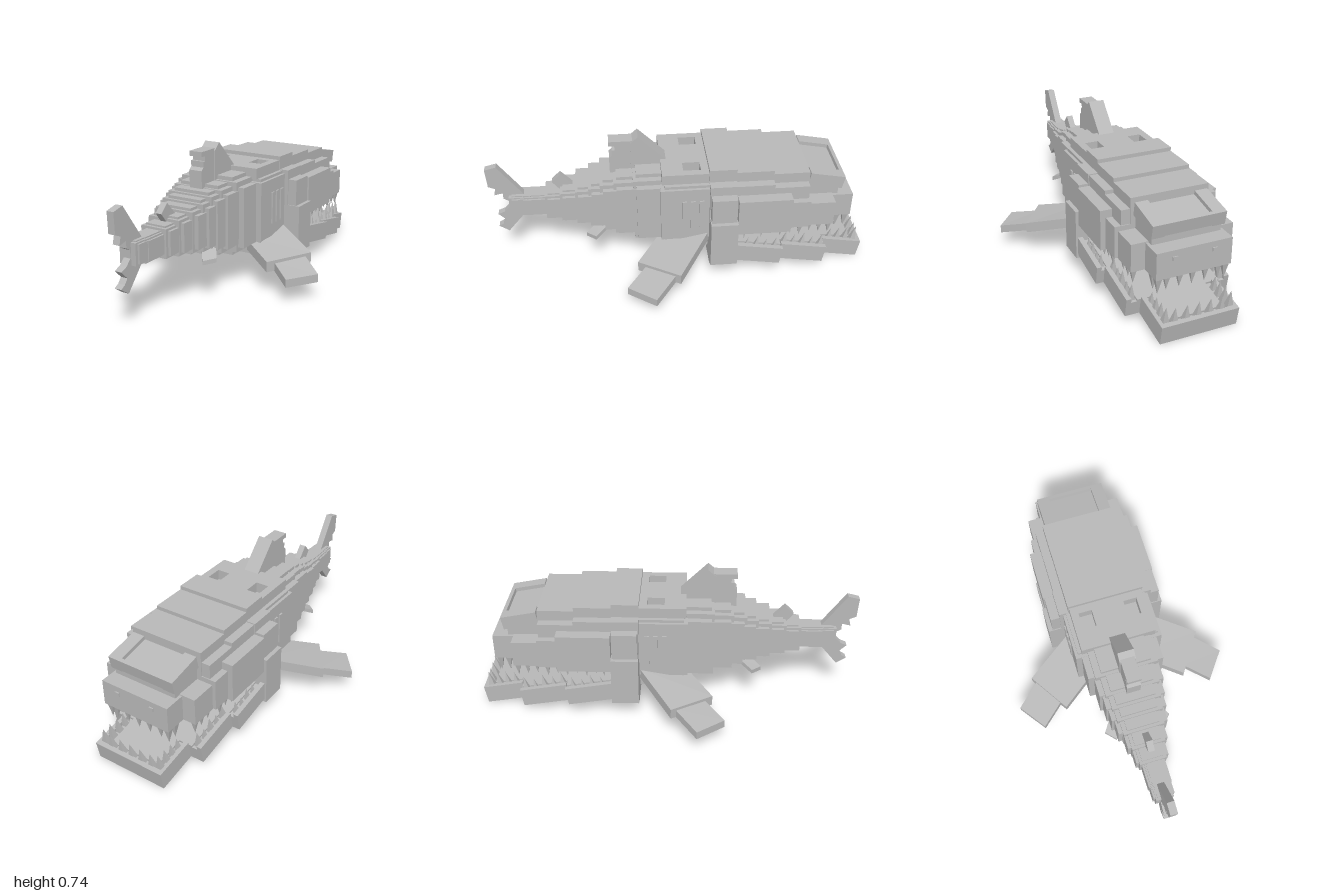
import * as THREE from 'three';

const skin = new THREE.MeshStandardMaterial({ color: 0xb8b8b8, flatShading: true });
skin.name = 'grey skin';

export function createModel() {
  const model = new THREE.Group();
  model.name = 'blockShark';

  const add = (name, geometry, parent = model) => {
    const mesh = new THREE.Mesh(geometry, skin);
    mesh.name = name;
    parent.add(mesh);
    return mesh;
  };
  // Box given by its limits on each axis
  const block = (name, x0, x1, y0, y1, z0, z1, parent) => {
    const m = add(name, new THREE.BoxGeometry(x1 - x0, y1 - y0, z1 - z0), parent);
    m.position.set((x0 + x1) / 2, (y0 + y1) / 2, (z0 + z1) / 2);
    return m;
  };
  const centred = (name, w, y0, y1, z0, z1, parent) => block(name, -w, w, y0, y1, z0, z1, parent);
  // Side profile in (z, y), extruded across x
  const profile = (name, points, w) => {
    const shape = new THREE.Shape(points.map(([z, y]) => new THREE.Vector2(-z, y)));
    const g = new THREE.ExtrudeGeometry(shape, { depth: 2 * w, bevelEnabled: false });
    return add(name, g.translate(0, 0, -w).rotateY(Math.PI / 2));
  };
  // Slab under four top corners: inner front, outer front, outer rear, inner rear
  const slab = (name, c, thick, side) => {
    const g = new THREE.BoxGeometry(1, 1, 1);
    const p = g.attributes.position;
    for (let i = 0; i < p.count; i++) {
      const outer = p.getX(i) * side > 0, rear = p.getZ(i) > 0;
      const q = c[outer ? (rear ? 2 : 1) : (rear ? 3 : 0)];
      p.setXYZ(i, q[0] * side, q[1] - (p.getY(i) < 0 ? thick : 0), q[2]);
    }
    g.computeVertexNormals();
    add(name, g);
  };

  // Tapering rear body: z0, z1, half width, bottom, top
  const sections = [
    [0.80, 0.88, 0.055, 0.29, 0.41], [0.69, 0.82, 0.06, 0.285, 0.41],
    [0.60, 0.69, 0.085, 0.27, 0.43], [0.52, 0.61, 0.105, 0.26, 0.455],
    [0.455, 0.53, 0.13, 0.25, 0.48], [0.39, 0.46, 0.145, 0.235, 0.505],
    [0.325, 0.40, 0.155, 0.21, 0.53], [0.23, 0.33, 0.17, 0.19, 0.55],
    [0.11, 0.23, 0.20, 0.165, 0.575],
  ];
  sections.forEach(([z0, z1, w, y0, y1]) => {
    const s = w * 0.17;
    centred('bodySide', w, y0 + s * 1.4, y1 - s * 1.4, z0, z1);
    centred('bodyShoulder', w - s, y0 + s * 0.7, y1 - s * 0.6, z0 - 0.02, z1 + 0.015);
    centred('bodyCore', w - 2 * s, y0, y1, z0 - 0.03, z1);
  });

  // Trunk with two blowhole pits in its back
  centred('trunkSide', 0.23, 0.22, 0.53, -0.14, 0.11);
  centred('trunkShoulder', 0.215, 0.19, 0.545, -0.14, 0.09);
  centred('trunkBelly', 0.19, 0.14, 0.24, -0.14, 0.10);
  centred('trunkBellyPlate', 0.17, 0.115, 0.2, -0.14, 0.02);
  const back = new THREE.Shape();
  back.moveTo(-0.195, -0.10).lineTo(0.195, -0.10).lineTo(0.195, 0.14).lineTo(-0.195, 0.14);
  [-0.155, 0.085].forEach((x) => {
    const pit = new THREE.Path();
    pit.moveTo(x, 0.01).lineTo(x, 0.10).lineTo(x + 0.07, 0.10).lineTo(x + 0.07, 0.01);
    back.holes.push(pit);
  });
  const backPlate = new THREE.ExtrudeGeometry(back, { depth: 0.055, bevelEnabled: false });
  add('backPlate', backPlate.rotateX(-Math.PI / 2)).position.y = 0.545;

  // Jaw hinge collar
  centred('hingeCrown', 0.2, 0.4, 0.62, -0.28, -0.14);
  centred('hingeShoulder', 0.25, 0.3, 0.55, -0.28, -0.14);
  centred('hingeCheek', 0.298, 0.2, 0.50, -0.275, -0.145);
  centred('hingePlate', 0.32, 0.10, 0.36, -0.28, -0.14);
  centred('hingeBase', 0.28, 0.075, 0.15, -0.28, -0.14);

  // Upper head
  centred('headCrown', 0.2, 0.4, 0.60, -0.47, -0.28);
  centred('headShoulder', 0.245, 0.3, 0.545, -0.47, -0.28);
  centred('headCheek', 0.305, 0.285, 0.49, -0.555, -0.28);
  centred('foreheadCrown', 0.2, 0.4, 0.58, -0.655, -0.47);
  centred('foreheadShoulder', 0.245, 0.3, 0.525, -0.65, -0.47);
  centred('foreheadCheek', 0.278, 0.29, 0.45, -0.655, -0.54);
  centred('muzzleCheek', 0.26, 0.285, 0.425, -0.79, -0.64);
  centred('muzzle', 0.19, 0.285, 0.42, -0.9, -0.64);
  centred('bridge', 0.175, 0.4, 0.50, -0.82, -0.64);
  const brow = new THREE.Group();
  brow.name = 'brow';
  brow.position.set(0, 0.515, -0.75);
  brow.rotation.x = 0.19;
  brow.rotation.x *= -1;
  model.add(brow);
  centred('browPlate', 0.15, -0.035, 0.01, -0.085, 0.09, brow);
  centred('browFront', 0.185, -0.035, 0.03, -0.095, -0.075, brow);

  // Lower jaw, sloping down to the front, built along a tilted frame
  const slope = 0.17;
  const jaw = new THREE.Group();
  jaw.name = 'lowerJaw';
  jaw.position.set(0, 0.225, -0.27);
  jaw.rotation.x = -slope;
  model.add(jaw);
  const jawParts = [[0.31, -0.26, 0.01], [0.27, -0.51, -0.26], [0.197, -0.725, -0.51]];
  jawParts.forEach(([w, z0, z1], i) => {
    centred('jawFloor', w, -0.105, -0.03, z0, z1, jaw);
    [-1, 1].forEach((s) => block('jawRim', s * w - (s > 0 ? 0.025 : 0), s * w + (s < 0 ? 0.025 : 0), -0.04, -0.008, z0, z1, jaw));
    if (i === 2) centred('jawFrontRim', w, -0.04, -0.008, z0, z0 + 0.025, jaw);
    centred('gum', w - 0.055, -0.04, -0.02, z0 + (i === 2 ? 0.05 : 0), z1, jaw);
  });

  // Square pyramid teeth; dir is +1 upward, -1 hanging
  const tooth = (x, y, z, h, dir, parent) => {
    const g = new THREE.ConeGeometry(h * 0.27, h, 4).rotateY(Math.PI / 4);
    const m = add(dir > 0 ? 'lowerTooth' : 'upperTooth', g, parent);
    m.position.set(x, y + dir * h / 2, z);
    if (dir < 0) m.rotation.x = Math.PI;
  };
  for (let i = -2; i <= 2; i++) {
    tooth(i * 0.06, -0.03, -0.69, 0.09, 1, jaw);
    tooth(i * 0.065, 0.29, -0.88, 0.075, -1, model);
  }
  [-1, 1].forEach((s) => {
    [-0.685, -0.64, -0.595, -0.55].forEach((z, i) => tooth(s * 0.165, -0.03, z, 0.1 - i * 0.008, 1, jaw));
    [-0.48, -0.43, -0.38, -0.33, -0.28].forEach((z, i) => tooth(s * 0.235, -0.03, z, 0.085 - (i % 2) * 0.02, 1, jaw));
    [-0.22, -0.17, -0.12, -0.07].forEach((z, i) => tooth(s * 0.275, -0.03, z, 0.07 - (i % 2) * 0.015, 1, jaw));
    [-0.875, -0.83].forEach((z) => tooth(s * 0.17, 0.29, z, 0.09, -1, model));
    [-0.77, -0.72, -0.67].forEach((z, i) => tooth(s * 0.24, 0.29, z, 0.075 - i * 0.008, -1, model));
    [-0.61, -0.56, -0.51, -0.46, -0.41, -0.36, -0.32].forEach((z, i) =>
      tooth(s * 0.265, 0.295, z, 0.065 - (i % 2) * 0.015, -1, model));

    // Brow ridges, nostrils and gill ribs
    const ridgeX = s > 0 ? [0.12, 0.185] : [-0.185, -0.12];
    block('browRidge', ...ridgeX, -0.04, 0.03, -0.095, 0.09, brow);
    block('nostril', s * 0.1 - 0.012, s * 0.1 + 0.012, 0.37, 0.39, -0.906, -0.898);
    [-0.1, -0.055, -0.01].forEach((z) =>
      block('gillRib', s * 0.232 - 0.006, s * 0.232 + 0.006, 0.29, 0.46, z - 0.012, z + 0.012));

    // Paired fins
    slab('pectoralFin', [[0.22, 0.25, -0.14], [0.48, 0.185, 0.03], [0.34, 0.17, 0.24], [0.10, 0.22, 0.07]], 0.055, s);
    slab('pectoralTip', [[0.455, 0.17, 0.05], [0.585, 0.13, 0.16], [0.48, 0.125, 0.30], [0.35, 0.16, 0.19]], 0.042, s);
    slab('pelvicFin', [[0.13, 0.265, 0.38], [0.18, 0.225, 0.45], [0.13, 0.215, 0.50], [0.08, 0.26, 0.43]], 0.022, s);
  });

  // Fins on the centre line
  profile('dorsalFin', [[0.05, 0.58], [0.21, 0.74], [0.25, 0.705], [0.25, 0.54], [0.10, 0.54]], 0.042);
  profile('dorsalFinRear', [[0.20, 0.715], [0.36, 0.715], [0.36, 0.69], [0.33, 0.69], [0.33, 0.665],
    [0.345, 0.665], [0.345, 0.635], [0.36, 0.62], [0.36, 0.53], [0.20, 0.53]], 0.036);
  profile('rearFin', [[0.54, 0.44], [0.56, 0.455], [0.62, 0.52], [0.665, 0.475], [0.63, 0.43]], 0.017);
  profile('tailFin', [[0.81, 0.40], [0.94, 0.585], [1.0, 0.57], [0.995, 0.465], [0.96, 0.45], [0.97, 0.41],
    [0.925, 0.42], [0.925, 0.385], [0.90, 0.37], [0.90, 0.33], [0.93, 0.30], [0.965, 0.285], [0.925, 0.245],
    [0.945, 0.22], [0.97, 0.205], [0.92, 0.17], [0.81, 0.30]], 0.019);

  return model;
}
